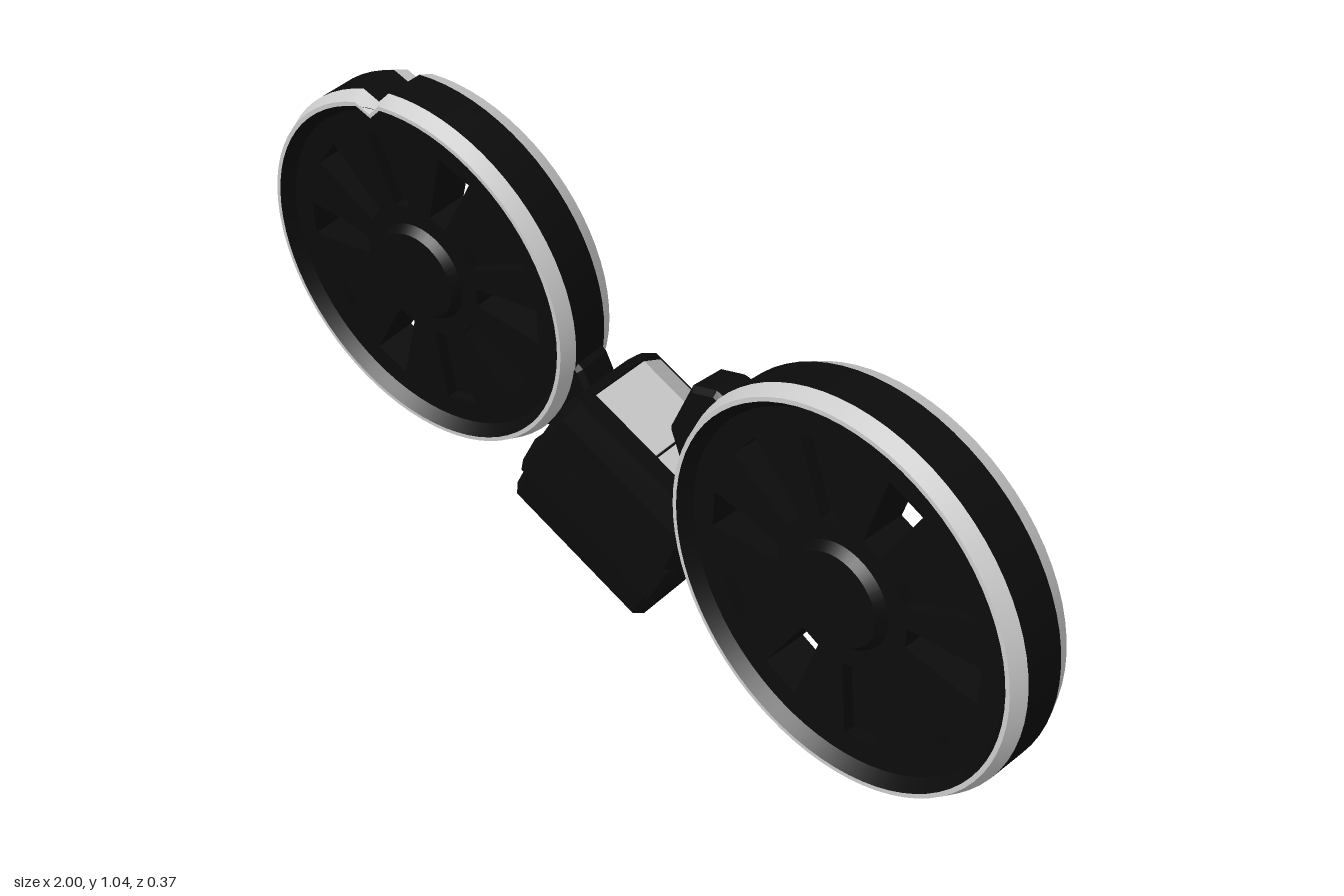
import * as THREE from 'three';

const black = new THREE.MeshStandardMaterial({ color: 0x0b0b0b });
const grey = new THREE.MeshStandardMaterial({ color: 0xcccccc });
const RAD = Math.PI / 180;

function add(parent, name, geometry, material) {
  const mesh = new THREE.Mesh(geometry, material);
  mesh.name = name;
  parent.add(mesh);
  return mesh;
}

// Conical or cylindrical band around the wheel axis (z), with an optional notch
function band(r0, z0, r1, z1, notch) {
  const g = new THREE.LatheGeometry([new THREE.Vector2(r0, z0), new THREE.Vector2(r1, z1)], 72);
  g.rotateX(Math.PI / 2);
  if (notch !== undefined) {
    const p = g.attributes.position;
    for (let i = 0; i < p.count; i++) {
      const d = Math.abs(Math.atan2(p.getY(i), p.getX(i)) - notch);
      const s = d < 3.5 * RAD ? 0.94 : 1;
      p.setXY(i, p.getX(i) * s, p.getY(i) * s);
    }
    if (notch) g.computeVertexNormals();
  }
  return g;
}

// Disc with wedge slots at the given angles (degrees)
function slottedDisc(radius, angles, depth, z) {
  const shape = new THREE.Shape().absarc(0, 0, radius, 0, Math.PI * 2);
  for (const a of angles) {
    const at = (r, d) => new THREE.Vector2(r * Math.cos((a + d) * RAD), r * Math.sin((a + d) * RAD));
    shape.holes.push(new THREE.Path([at(0.15, -8), at(0.15, 8), at(0.31, 7.5), at(0.31, -7.5)]));
  }
  const g = new THREE.ExtrudeGeometry(shape, { depth, bevelEnabled: false, curveSegments: 36 });
  return g.translate(0, 0, z);
}

function makeWheel(name, notch) {
  const wheel = new THREE.Group();
  wheel.name = name;
  add(wheel, 'tread', band(0.4, -0.043, 0.4, 0.043, notch), black);
  for (const side of [1, -1]) {
    // Bands are listed front to back, so the rear ones swap their ends
    const ring = (r0, z0, r1, z1, n) => side > 0 ? band(r0, z0, r1, z1, n) : band(r1, -z1, r0, -z0, n);
    add(wheel, 'rimBevel', ring(0.4, 0.043, 0.387, 0.075, notch), grey);
    add(wheel, 'rimLip', ring(0.387, 0.075, 0.378, 0.075, notch), grey);
    add(wheel, 'rimInner', ring(0.378, 0.075, 0.355, 0.045), black);
  }
  // Six slots go through, the other four are shallow pockets
  const through = [66, 140, 177, 245, 320, 358];
  const all = [...through, 30, 103, 212, 283];
  add(wheel, 'wheelCore', slottedDisc(0.37, through, 0.05, -0.025), black);
  for (const side of [1, -1]) {
    add(wheel, 'spokedFace', slottedDisc(0.37, all, 0.025, side > 0 ? 0.025 : -0.05), black);
    const hub = add(wheel, 'hub', new THREE.CylinderGeometry(0.095, 0.11, 0.02, 40), black);
    hub.rotation.x = side * Math.PI / 2;
    hub.position.z = side * 0.058;
  }
  return wheel;
}

// Bracket gripping the tread at a given angle
function addClip(wheel, angle) {
  const shape = new THREE.Shape([[0.37, -0.11], [0.4, -0.105], [0.445, -0.065], [0.445, 0.065], [0.4, 0.105], [0.37, 0.11]]
    .map(p => new THREE.Vector2(...p)));
  const g = new THREE.ExtrudeGeometry(shape, {
    depth: 0.07, bevelSize: 0.01, bevelThickness: 0.01, bevelOffset: -0.01, bevelSegments: 1,
  });
  g.translate(0, 0, -0.035);
  add(wheel, 'tyreClip', g, black).rotation.z = angle * RAD;
}

// Side profile (z, height) swept across the body, narrowed by a height rule
function bodyPart(profile, width, bevel, taper) {
  const shape = new THREE.Shape(profile.map(p => new THREE.Vector2(...p)));
  const g = new THREE.ExtrudeGeometry(shape, {
    depth: width - 2 * bevel, bevelSize: bevel, bevelThickness: bevel, bevelOffset: -bevel, bevelSegments: 1,
  });
  g.translate(0, 0, bevel - width / 2).rotateY(-Math.PI / 2);
  const p = g.attributes.position;
  for (let i = 0; i < p.count; i++) p.setX(i, p.getX(i) * taper(p.getY(i)));
  g.computeVertexNormals();
  return g;
}

function makeBody() {
  const body = new THREE.Group();
  body.name = 'body';
  add(body, 'lowerCasing', bodyPart(
    [[-0.155, 0.03], [-0.09, 0], [0.135, 0.15], [0.14, 0.26], [-0.155, 0.26]],
    0.37, 0.015, v => 0.88 + 0.12 * Math.min(1, v / 0.16)), black);
  add(body, 'casingBand', bodyPart(
    [[-0.168, 0.23], [0.152, 0.24], [0.152, 0.34], [-0.168, 0.33]], 0.385, 0.012, () => 1), black);
  add(body, 'upperCasing', bodyPart(
    [[-0.158, 0.3], [0.148, 0.3], [0.148, 0.44], [0.135, 0.5], [-0.05, 0.5], [-0.15, 0.43]],
    0.38, 0.02, v => 1 - 0.1 * Math.max(0, v - 0.4) / 0.1), black);

  // Two light panels, each with a level part and a part sloping to the back
  for (const [x, w] of [[-0.065, 0.165], [0.085, 0.125]]) {
    const g = bodyPart([[0.1, 0.495], [0.1, 0.503], [-0.05, 0.503], [-0.135, 0.443], [-0.13, 0.435], [-0.05, 0.495]].reverse(),
      w, 0.001, () => 1);
    add(body, 'topPanel', g, grey).position.x = x;
  }
  // Raised rim around the panels
  const front = add(body, 'topRim', new THREE.BoxGeometry(0.33, 0.025, 0.025), black);
  front.position.set(0, 0.498, 0.114);
  for (const s of [1, -1]) {
    const rail = add(body, 'topRim', new THREE.BoxGeometry(0.016, 0.02, 0.16), black);
    rail.position.set(s * 0.157, 0.497, 0.035);
  }
  return body;
}

export function createModel() {
  const model = new THREE.Group();
  model.name = 'twinWheelUnit';

  const leftWheel = makeWheel('leftWheel');
  leftWheel.position.set(0.6, 0.55, 0.105);
  addClip(leftWheel, 155);
  model.add(leftWheel);

  const rightWheel = makeWheel('rightWheel', 101 * RAD);
  rightWheel.position.set(-0.595, 0.65, 0.05);
  rightWheel.rotation.set(0.06, 0.125, 0);
  addClip(rightWheel, -26);
  model.add(rightWheel);

  const body = makeBody();
  body.position.set(-0.19, 0.085, 0.015);
  body.rotation.set(0, 0.12, -27.5 * RAD);
  model.add(body);
  return model;
}
